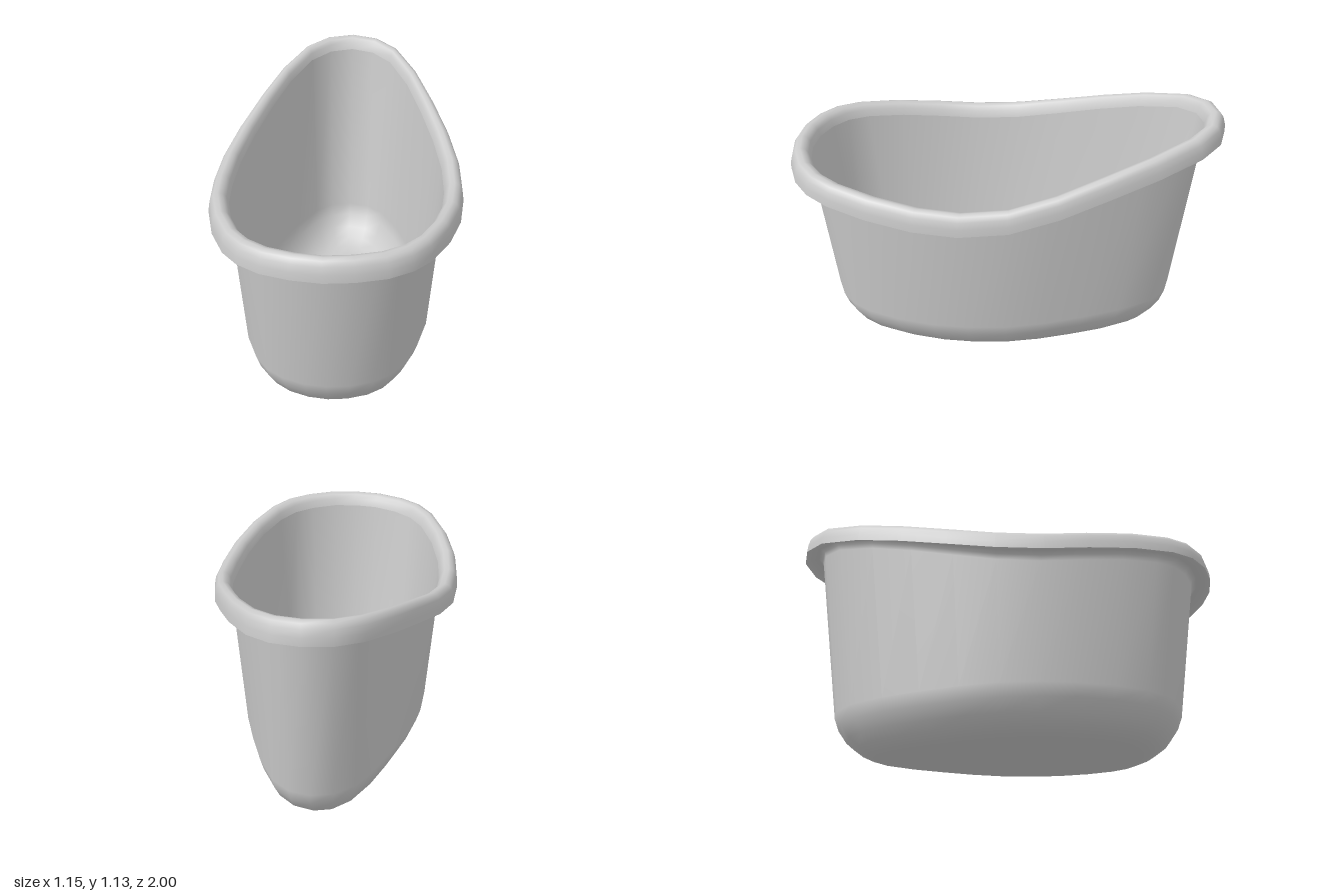
import * as THREE from 'three';

// Half outline of the rim, front to back: x, z, height of the lip's lower edge
const half = [
  [0, 1, 0.86], [0.13, 0.985, 0.86], [0.26, 0.94, 0.855], [0.36, 0.87, 0.85],
  [0.435, 0.77, 0.84], [0.51, 0.59, 0.82], [0.56, 0.38, 0.797], [0.575, 0.18, 0.785],
  [0.563, -0.04, 0.8], [0.512, -0.26, 0.848], [0.435, -0.48, 0.91], [0.35, -0.69, 0.966],
  [0.24, -0.88, 1.012], [0.13, -0.97, 1.03], [0, -1, 1.036],
];
const outline = [...half, ...half.slice(1, -1).reverse().map(([x, z, h]) => [-x, z, h])];

// Rings are [scaleX, scaleZ, y, followsRim]; y is relative to the lip when followsRim is 1
const outerRings = [
  [0, 0, 0, 0], [0.37, 0.58, 0, 0], [0.5, 0.645, 0.012, 0], [0.595, 0.7, 0.04, 0],
  [0.67, 0.75, 0.08, 0], [0.73, 0.79, 0.14, 0], [0.765, 0.812, 0.2, 0],
  [0.848, 0.908, -0.015, 1], [0.862, 0.915, 0.01, 1], [0.895, 0.935, 0.022, 1],
  [0.95, 0.97, 0.02, 1], [1, 1, 0, 1],
];
const rimRings = [
  [1, 1, 0, 1], [0.996, 0.997, 0.035, 1], [0.985, 0.988, 0.068, 1], [0.96, 0.974, 0.088, 1],
  [0.925, 0.952, 0.095, 1], [0.887, 0.93, 0.088, 1], [0.86, 0.915, 0.068, 1], [0.845, 0.905, 0.035, 1],
];
const basinRings = [
  [0.845, 0.905, 0.035, 1], [0.75, 0.802, 0.2, 0], [0.715, 0.78, 0.145, 0], [0.655, 0.74, 0.088, 0],
  [0.58, 0.69, 0.05, 0], [0.49, 0.637, 0.022, 0], [0.36, 0.57, 0.01, 0], [0, 0, 0.01, 0],
];

// Skin a stack of scaled outline loops
function skin(name, rings, material) {
  const n = outline.length, pos = [], index = [];
  for (const [sx, sz, y, follow] of rings) {
    for (const [x, z, h] of outline) {
      pos.push(x * sx, follow ? h + y : y, z * sz + (follow ? 0 : 0.01));
    }
  }
  for (let i = 0; i < rings.length - 1; i++) {
    for (let j = 0; j < n; j++) {
      const a = i * n + j, b = i * n + (j + 1) % n;
      if (rings[i][0] > 0) index.push(a, b, b + n);
      if (rings[i + 1][0] > 0) index.push(a, b + n, a + n);
      else index.push(a, b, a + n);
    }
  }
  const geometry = new THREE.BufferGeometry();
  geometry.setAttribute('position', new THREE.Float32BufferAttribute(pos, 3));
  geometry.setIndex(index);
  geometry.computeVertexNormals();
  const mesh = new THREE.Mesh(geometry, material);
  mesh.name = name;
  return mesh;
}

export function createModel() {
  const material = new THREE.MeshStandardMaterial({ color: 0xcccccc, side: THREE.DoubleSide });
  const tub = new THREE.Group();
  tub.name = 'bathtub';
  tub.add(
    skin('outerShell', outerRings, material), // underside, walls and underside of the lip
    skin('rolledRim', rimRings, material),
    skin('innerBasin', basinRings, material),
  );
  return tub;
}
